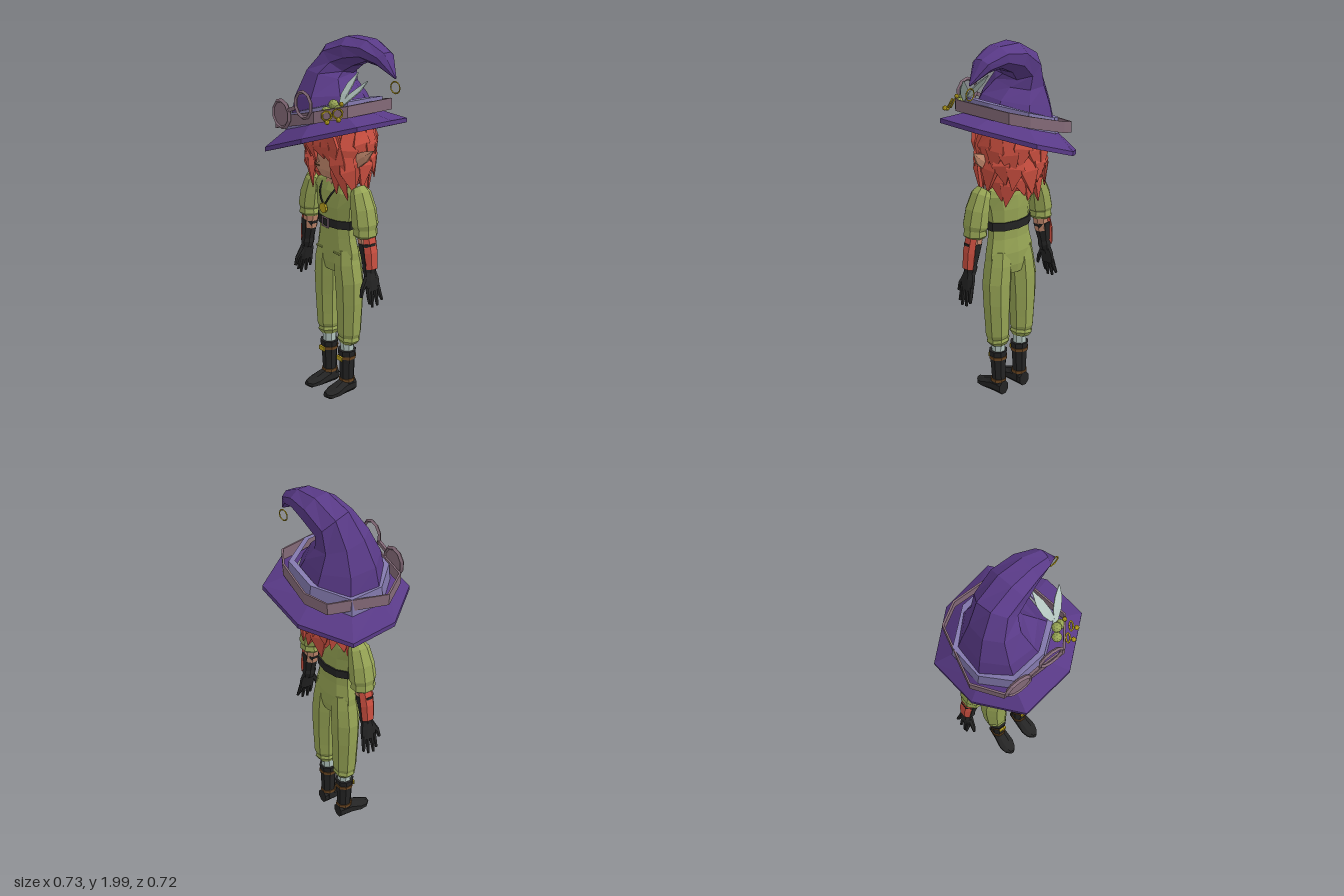
import * as THREE from 'three';

const mat = (name, color, side = THREE.FrontSide) => {
  const m = new THREE.MeshStandardMaterial({ color, side });
  m.name = name;
  return m;
};
const V = (x, y, z) => new THREE.Vector3(x, y, z);
const Y = V(0, 1, 0), Z = V(0, 0, 1);

// Faceted skin over matching rings of points, with fan caps on request
function loft(rings, caps = true) {
  const p = [], n = rings[0].length;
  const tri = (...vs) => vs.forEach(v => p.push(v.x, v.y, v.z));
  for (let i = 0; i < rings.length - 1; i++) for (let j = 0; j < n; j++) {
    const k = (j + 1) % n, a = rings[i][j], b = rings[i][k], c = rings[i + 1][k], d = rings[i + 1][j];
    tri(a, b, c);
    tri(a, c, d);
  }
  if (caps) [rings[0], rings[rings.length - 1]].forEach((r, end) => {
    const mid = r.reduce((s, v) => s.add(v), V(0, 0, 0)).divideScalar(n);
    for (let j = 0; j < n; j++) end ? tri(mid, r[j], r[(j + 1) % n]) : tri(mid, r[(j + 1) % n], r[j]);
  });
  const g = new THREE.BufferGeometry();
  g.setAttribute('position', new THREE.Float32BufferAttribute(p, 3));
  g.computeVertexNormals();
  return g;
}

// Sections [x, y, z, radius across, radius along ref] swept along their centres
function tube(secs, n = 8, ref = Z) {
  const c = secs.map(s => V(s[0], s[1], s[2])), grow = 1 / Math.cos(Math.PI / n);
  return loft(secs.map((s, i) => {
    const t = c[Math.min(i + 1, c.length - 1)].clone().sub(c[Math.max(i - 1, 0)]).normalize();
    const b = ref.clone().addScaledVector(t, -ref.dot(t)).normalize();
    const u = b.clone().cross(t);
    return Array.from({ length: n }, (_, j) => {
      const a = (j + 0.5) / n * Math.PI * 2;
      return c[i].clone().addScaledVector(u, Math.cos(a) * s[3] * grow).addScaledVector(b, Math.sin(a) * s[4] * grow);
    });
  }));
}

const flat = g => {
  const f = g.index ? g.toNonIndexed() : g;
  f.computeVertexNormals();
  return f;
};

export function createModel() {
  const purple = mat('hat purple', 0x593a87), lavender = mat('band lavender', 0x8278ac);
  const mauve = mat('goggle mauve', 0x846a78), green = mat('cloth green', 0x97a555);
  const skin = mat('skin', 0xc58a6e), red = mat('hair red', 0xcb4f40), black = mat('leather black', 0x242424);
  const gold = mat('gold', 0xbba21f), pale = mat('pale feather', 0xb4c6c0, THREE.DoubleSide), brown = mat('strap brown', 0x6b4722);

  const model = new THREE.Group(), body = new THREE.Group(), hat = new THREE.Group();
  body.name = 'body';
  hat.name = 'hat';
  body.position.x = -0.013;
  model.add(body, hat);
  const add = (parent, name, geo, m, pos = [0, 0, 0], rot = [0, 0, 0]) => {
    const mesh = new THREE.Mesh(geo, m);
    mesh.name = name;
    mesh.position.set(...pos);
    mesh.rotation.set(...rot);
    parent.add(mesh);
    return mesh;
  };
  const box = (x, y, z) => new THREE.BoxGeometry(x, y, z);
  const ball = r => flat(new THREE.IcosahedronGeometry(r, 1));
  const hoop = (r, t, n = 10) => flat(new THREE.TorusGeometry(r, t, 4, n));

  // Suit torso, belt and pendant
  add(body, 'torso', tube([[0, 0.73, -0.005, 0.125, 0.06], [0, 0.78, -0.005, 0.15, 0.07], [0, 0.85, -0.005, 0.148, 0.073],
    [0, 0.93, 0, 0.13, 0.068], [0, 1.0, 0, 0.125, 0.068], [0, 1.1, 0.004, 0.14, 0.078], [0, 1.18, 0, 0.165, 0.072],
    [0, 1.215, -0.005, 0.15, 0.062], [0, 1.24, -0.01, 0.085, 0.055]], 10), green);
  add(body, 'belt', tube([[0, 0.985, 0, 0.138, 0.077], [0, 1.03, 0, 0.138, 0.078]], 10), black);
  add(body, 'buckle', flat(new THREE.TorusGeometry(0.035, 0.006, 4, 4)), mauve, [0, 1.007, 0.084], [0, 0, Math.PI / 4]);
  add(body, 'neck', tube([[0, 1.17, 0.012, 0.055, 0.055], [0, 1.235, 0, 0.058, 0.055], [0, 1.255, 0, 0.045, 0.045], [0, 1.32, 0, 0.042, 0.042]]), skin);
  const cord = new THREE.CatmullRomCurve3([V(-0.075, 1.24, 0.03), V(-0.045, 1.17, 0.083), V(0, 1.11, 0.092), V(0.045, 1.17, 0.083), V(0.075, 1.24, 0.03)]);
  add(body, 'necklaceCord', new THREE.TubeGeometry(cord, 16, 0.005, 5), black);
  add(body, 'pendant', flat(new THREE.CylinderGeometry(0.028, 0.028, 0.012, 10)), gold, [0, 1.09, 0.095], [Math.PI / 2, 0, 0]);

  for (const s of [1, -1]) {
    const side = s > 0 ? 'left' : 'right';
    const limb = (name, secs, m, n = 8, ref = Z) => add(body, side + name, tube(secs.map(([x, ...r]) => [s * x, ...r]), n, ref), m);

    // Trouser leg, sock and boot
    limb('TrouserLeg', [[0.083, 0.31, -0.01, 0.045, 0.045], [0.086, 0.335, -0.01, 0.062, 0.06], [0.088, 0.352, -0.01, 0.056, 0.054],
      [0.09, 0.375, -0.01, 0.064, 0.062], [0.092, 0.44, -0.01, 0.066, 0.064], [0.094, 0.56, -0.01, 0.073, 0.068],
      [0.092, 0.68, -0.008, 0.079, 0.071], [0.082, 0.78, -0.005, 0.073, 0.071], [0.075, 0.86, -0.005, 0.062, 0.062]], green);
    limb('Pocket', [[0.075, 0.843, 0.067, 0.025, 0.004], [0.075, 0.851, 0.067, 0.025, 0.004]], green, 4);
    limb('Sock', [[0.08, 0.22, -0.005, 0.034, 0.034], [0.08, 0.325, -0.005, 0.038, 0.038]], pale);
    limb('BootShaft', [[0.078, 0.03, -0.005, 0.036, 0.04], [0.078, 0.09, -0.005, 0.036, 0.038], [0.08, 0.19, -0.004, 0.041, 0.041],
      [0.08, 0.235, -0.003, 0.046, 0.045], [0.08, 0.265, -0.003, 0.05, 0.048]], black);
    limb('BootFoot', [[0.078, 0.04, -0.048, 0.033, 0.04], [0.08, 0.042, 0.025, 0.039, 0.042], [0.084, 0.029, 0.09, 0.045, 0.029],
      [0.086, 0.022, 0.13, 0.035, 0.022], [0.087, 0.03, 0.155, 0.014, 0.012]], black, 8, Y);
    limb('BootTopStrap', [[0.08, 0.215, -0.004, 0.048, 0.047], [0.08, 0.232, -0.004, 0.049, 0.048]], brown);
    limb('BootAnkleStrap', [[0.078, 0.074, -0.004, 0.041, 0.044], [0.078, 0.09, -0.004, 0.041, 0.043]], brown);
    add(body, side + 'BootBuckle', box(0.045, 0.024, 0.009), gold, [s * 0.08, 0.22, 0.049]);

    // Sleeve, forearm, glove and bracer
    limb('Sleeve', [[0.235, 0.975, 0, 0.046, 0.05], [0.235, 0.99, 0, 0.06, 0.064], [0.236, 1.02, 0, 0.054, 0.06], [0.233, 1.04, 0, 0.062, 0.069],
      [0.219, 1.12, 0, 0.058, 0.066], [0.194, 1.2, 0, 0.044, 0.056], [0.175, 1.222, 0, 0.035, 0.04]], green);
    limb('Forearm', [[0.248, 0.9, 0, 0.036, 0.038], [0.232, 1.0, 0, 0.04, 0.042]], skin);
    limb('Glove', [[0.275, 0.775, 0, 0.026, 0.03], [0.27, 0.81, 0, 0.034, 0.037], [0.266, 0.83, 0, 0.03, 0.033],
      [0.256, 0.9, 0, 0.042, 0.039], [0.25, 0.945, 0, 0.048, 0.044]], black);
    limb('Bracer', [[0.289, 0.81, -0.003, 0.022, 0.033], [0.28, 0.9, -0.003, 0.027, 0.037], [0.264, 0.985, -0.003, 0.02, 0.037]], red, 6);
    limb('Palm', [[0.298, 0.69, -0.005, 0.014, 0.042], [0.287, 0.75, 0, 0.021, 0.044], [0.276, 0.795, 0, 0.023, 0.03]], black);
    [[0.03, 0.625, 0.035], [0.01, 0.603, 0.016], [-0.013, 0.607, -0.018], [-0.035, 0.63, -0.05]].forEach(([z, y, zt], i) =>
      limb('Finger' + (i + 1), [[0.318, y, zt, 0.006, 0.007], [0.308, 0.66, (z + zt) / 2, 0.01, 0.0105], [0.296, 0.71, z, 0.012, 0.012]], black, 6));
    limb('Thumb', [[0.292, 0.665, 0.073, 0.007, 0.008], [0.289, 0.71, 0.06, 0.011, 0.012], [0.282, 0.765, 0.025, 0.014, 0.015]], black, 6);

    // Long pointed ear
    limb('Ear', [[0.12, 1.36, 0.01, 0.022, 0.016], [0.165, 1.368, 0.002, 0.036, 0.016], [0.215, 1.4, -0.012, 0.028, 0.012], [0.262, 1.438, -0.025, 0.002, 0.002]], skin, 6);
  }

  // Head
  add(body, 'face', tube([[0, 1.255, 0.075, 0.026, 0.026], [0, 1.285, 0.06, 0.065, 0.064], [0, 1.35, 0.03, 0.108, 0.1],
    [0, 1.44, 0.005, 0.132, 0.125], [0, 1.54, -0.01, 0.11, 0.11]], 10), skin);
  add(body, 'nose', flat(new THREE.ConeGeometry(0.013, 0.035, 4)), skin, [0, 1.368, 0.135], [0.35, 0, 0]);
  add(body, 'mouth', box(0.032, 0.006, 0.008), brown, [0, 1.335, 0.134], [-0.3, 0, 0]);

  // Hair: a cap with rows of pointed locks
  const hair = new THREE.Group();
  hair.name = 'hair';
  body.add(hair);
  add(hair, 'hairCap', tube([[0, 1.21, -0.075, 0.08, 0.055], [0, 1.3, -0.065, 0.13, 0.09], [0, 1.42, -0.04, 0.15, 0.135],
    [0, 1.51, -0.005, 0.158, 0.155], [0, 1.6, -0.01, 0.11, 0.11]], 12), red);
  const lock = (a, b, c, w, out) => add(hair, 'hairLock',
    tube([[...a, w * 0.6, 0.012], [...b, w, 0.017], [...c, 0.002, 0.002]], 4, out), red);
  const rows = [[1.52, 1.3, 0.155, 0.172, 1.1, 11, 0.052], [1.43, 1.21, 0.145, 0.17, 1.25, 10, 0.05], [1.33, 1.14, 0.125, 0.14, 1.45, 9, 0.045]];
  rows.forEach(([top, low, r0, r1, start, n, w], k) => {
    for (let i = 0; i < n; i++) {
      const th = start + (2 * Math.PI - 2 * start) * i / (n - 1), sx = Math.sin(th), cz = Math.cos(th);
      const drop = low + 0.03 * ((i * 2 + k) % 3), tw = 0.02 * ((i + k) % 2 ? 1 : -1);
      lock([sx * r0, top, cz * r0 - 0.03], [sx * r1, (top + drop) / 2 + 0.02, cz * r1 - 0.025],
        [sx * r1 + cz * tw, drop, cz * r1 - 0.03 - sx * tw], w, V(sx, 0.1, cz));
    }
  });
  for (const s of [1, -1]) {
    lock([s * 0.11, 1.51, 0.11], [s * 0.127, 1.36, 0.1], [s * 0.15, 1.16, 0.05], 0.04, V(s * 0.6, 0, 0.8));
    lock([s * 0.13, 1.48, 0.07], [s * 0.158, 1.32, 0.06], [s * 0.175, 1.19, 0.02], 0.042, V(s * 0.9, 0, 0.4));
    lock([s * 0.1, 1.42, 0.1], [s * 0.108, 1.31, 0.095], [s * 0.1, 1.19, 0.085], 0.027, V(s * 0.5, 0, 0.8));
  }
  [[-0.11, 1.33, -0.1], [-0.065, 1.37, -0.045], [-0.02, 1.355, 0.008], [0.03, 1.38, 0.06], [0.075, 1.36, 0.095], [0.115, 1.32, 0.11]].forEach(([x, y, xt]) =>
    lock([x * 0.9, 1.54, 0.14], [x, 1.45, 0.155 - x * x * 2.5], [xt, y, 0.145 - xt * xt * 3], 0.034, V(x * 4, 0, 1)));

  // Hat rings: outlines seen from above, laid on a tilted plane
  const onPlane = (pts, y, slope, k = 1) => pts.map(([x, z]) => V((x + 0.04) * k - 0.04, y + slope * x, z * k));
  const edge = [[0.325, 0.145], [0.3, -0.1], [0.125, -0.36], [-0.155, -0.335], [-0.365, -0.15], [-0.335, 0.13], [-0.165, 0.355], [0.115, 0.33]];
  const band = [[0.2, 0.1], [0.185, -0.07], [0.07, -0.245], [-0.12, -0.24], [-0.285, -0.1], [-0.27, 0.1], [-0.15, 0.237], [0.04, 0.227]];
  const belt = [[0.235, 0.13], [0.175, -0.21], [0.08, -0.265], [-0.14, -0.285], [-0.25, -0.225], [-0.32, 0.1], [-0.22, 0.25], [0.13, 0.262]];
  add(hat, 'brim', loft([onPlane(band, 1.53, 0.3, 0.94), onPlane(edge, 1.468, 0.345), onPlane(edge, 1.492, 0.345), onPlane(band, 1.565, 0.3, 0.94)], false), purple);
  add(hat, 'hatBand', loft([onPlane(band, 1.535, 0.3), onPlane(band, 1.64, 0.3, 0.97), onPlane(band, 1.64, 0.3, 0.85)], false), lavender);
  add(hat, 'goggleStrap', loft([0, 1, 2, 3, 4].map(i => onPlane(belt, i === 1 || i === 2 ? 1.567 : 1.627, 0.27, i === 2 || i === 3 ? 1 : 0.965)), false), mauve);

  // Curled crown
  add(hat, 'crown', tube([[-0.045, 1.57, 0, 0.215, 0.215], [-0.065, 1.68, 0, 0.173, 0.182], [-0.075, 1.78, -0.015, 0.116, 0.135], [-0.05, 1.865, -0.045, 0.092, 0.11],
    [0.045, 1.918, -0.07, 0.076, 0.105], [0.15, 1.932, -0.085, 0.054, 0.085], [0.245, 1.9, -0.093, 0.042, 0.056], [0.33, 1.815, -0.097, 0.004, 0.004]]), purple);
  add(hat, 'tipRing', hoop(0.03, 0.004, 12), gold, [0.328, 1.77, -0.097], [0, 0.15, 0]);

  // Goggles: one filled lens and one open frame
  add(hat, 'lensFrame', hoop(0.07, 0.012), mauve, [-0.143, 1.6, 0.262], [0, 0, 0.3]);
  add(hat, 'lens', flat(new THREE.CylinderGeometry(0.068, 0.068, 0.009, 10)), mauve, [-0.143, 1.6, 0.262], [Math.PI / 2, 0.3, 0]);
  add(hat, 'openLensFrame', hoop(0.066, 0.01), mauve, [0.045, 1.682, 0.262], [0, 0, 0.3]);
  add(hat, 'goggleBridge', box(0.07, 0.02, 0.014), mauve, [-0.05, 1.643, 0.262], [0, 0, 0.4]);

  // Feathers, berries and gold charms
  add(hat, 'feather', tube([[0.175, 1.66, 0.14, 0.004, 0.003], [0.152, 1.73, 0.085, 0.024, 0.003], [0.143, 1.775, 0.04, 0.022, 0.003], [0.137, 1.825, -0.015, 0.002, 0.002]], 4, V(0, 0.5, 0.9)), pale);
  add(hat, 'feather', tube([[0.165, 1.66, 0.14, 0.004, 0.003], [0.205, 1.725, 0.095, 0.021, 0.003], [0.238, 1.765, 0.06, 0.018, 0.003], [0.265, 1.808, 0.028, 0.002, 0.002]], 4, V(-0.3, 0.2, 0.9)), pale);
  [[0.137, 1.655, 0.188], [0.157, 1.69, 0.158], [0.188, 1.665, 0.148]].forEach(p => add(hat, 'berry', ball(0.026), green, p));
  [[0.18, 1.645, 0.22], [0.225, 1.66, 0.185]].forEach(([x, y, z]) => {
    add(hat, 'charmRing', hoop(0.024, 0.005, 8), gold, [x, y, z], [-0.6, 0.7, 0]);
    add(hat, 'charmBead', ball(0.013), gold, [x + 0.024, y - 0.025, z + 0.015]);
  });
  add(hat, 'charmBead', ball(0.012), gold, [0.21, 1.7, 0.15]);
  return model;
}
